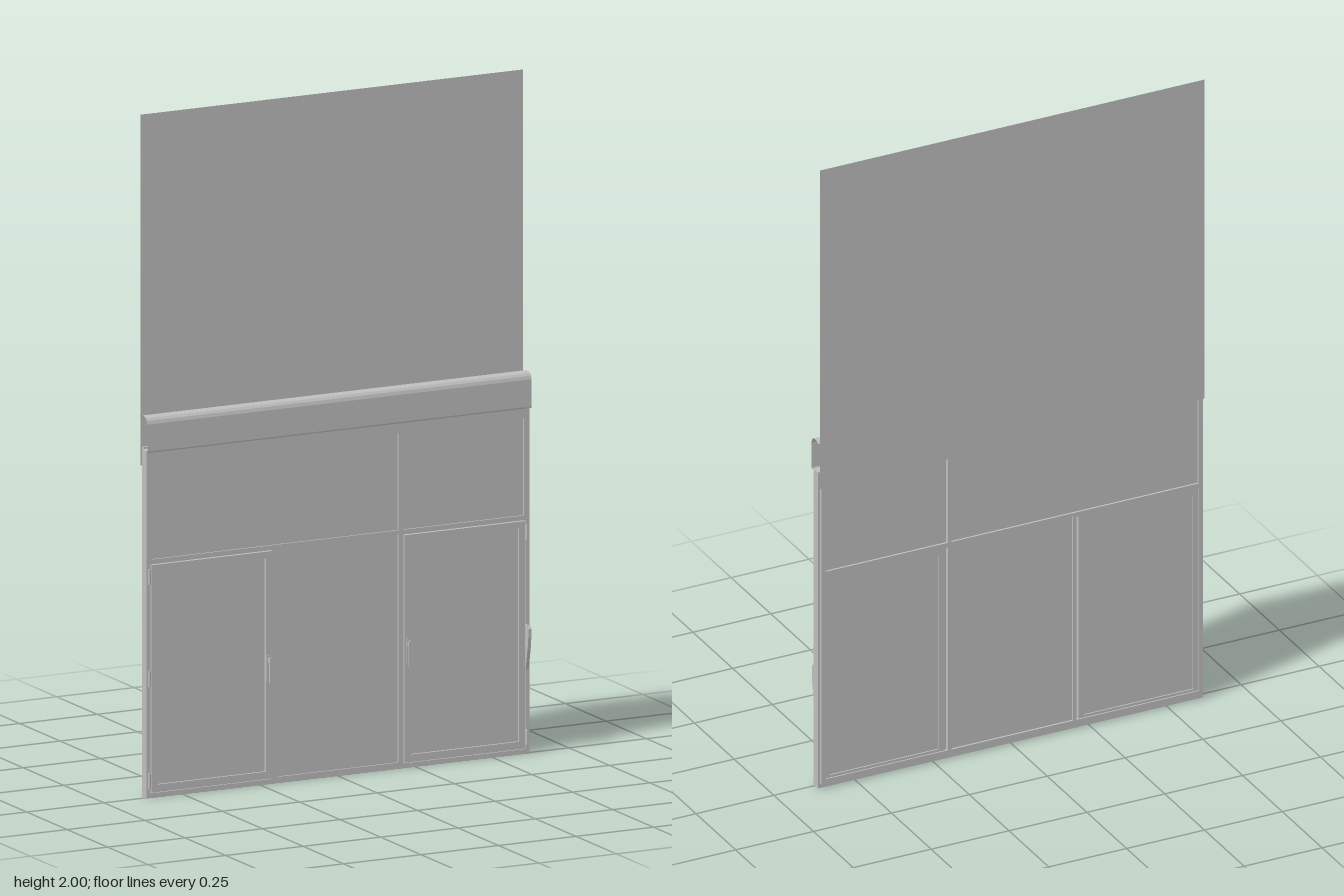
import * as THREE from 'three';

export function createModel() {
  const root = new THREE.Group();
  const grey = new THREE.MeshStandardMaterial({ color: 0xc0c0c0 });
  grey.name = 'light grey';
  const greySheet = grey.clone();
  greySheet.name = 'light grey sheet';
  greySheet.side = THREE.DoubleSide;

  const add = (name, geo, parent = root, mat = grey) => {
    const m = new THREE.Mesh(geo, mat);
    m.name = name;
    parent.add(m);
    return m;
  };
  // Box given by its limits
  const box = (name, x0, x1, y0, y1, z0, z1, parent) => {
    const g = new THREE.BoxGeometry(x1 - x0, y1 - y0, z1 - z0);
    g.translate((x0 + x1) / 2, (y0 + y1) / 2, (z0 + z1) / 2);
    return add(name, g, parent);
  };
  const rect = (Type, x0, x1, y0, y1) => new Type([
    [x0, y0], [x1, y0], [x1, y1], [x0, y1],
  ].map(([x, y]) => new THREE.Vector2(x, y)));
  // Plate with rectangular openings, each [x0, x1, y0, y1]
  const frame = (name, outer, holes, z0, z1, parent) => {
    const s = rect(THREE.Shape, ...outer);
    holes.forEach((h) => s.holes.push(rect(THREE.Path, ...h)));
    const g = new THREE.ExtrudeGeometry(s, { depth: z1 - z0, bevelEnabled: false });
    g.translate(0, 0, z0);
    return add(name, g, parent);
  };

  // Fixed frame: two upper lights, two door openings and a middle light
  const openings = [
    [-0.6, 0.195, 0.7, 0.985], [0.21, 0.6, 0.7, 0.985],
    [-0.605, -0.212, 0.014, 0.686], [0.212, 0.605, 0.014, 0.686],
    [-0.195, 0.195, 0.018, 0.69],
  ];
  frame('mainFrame', [-0.618, 0.618, 0, 1.02], openings, -0.02, 0.008);
  frame('backFrame', [-0.612, 0.612, 0.015, 1.025], [
    [-0.598, 0.195, 0.7, 0.97], [0.207, 0.598, 0.7, 0.97],
    [-0.598, -0.207, 0.03, 0.685], [0.207, 0.598, 0.03, 0.685],
    [-0.195, 0.195, 0.03, 0.69],
  ], -0.03, -0.02);

  // Fixed panes
  box('upperWidePane', -0.6, 0.195, 0.7, 0.985, -0.024, 0.003);
  box('upperNarrowPane', 0.21, 0.6, 0.7, 0.985, -0.024, 0.003);
  box('middlePane', -0.195, 0.195, 0.018, 0.69, -0.024, 0.003);

  // Mirrored doors with hinges and handles
  for (const s of [-1, 1]) {
    const door = new THREE.Group();
    door.name = s < 0 ? 'rightDoor' : 'leftDoor';
    root.add(door);
    const span = (a, b) => (s > 0 ? [a, b] : [-b, -a]);
    frame('doorSash', [...span(0.214, 0.603), 0.016, 0.684],
      [[...span(0.234, 0.583), 0.038, 0.664]], -0.026, 0.011, door);
    box('doorPane', ...span(0.234, 0.583), 0.038, 0.664, -0.022, 0.004, door);

    for (const y of [0.05, 0.35, 0.65]) {
      const g = new THREE.CylinderGeometry(0.004, 0.004, 0.045, 8);
      g.translate(s * 0.609, y, 0.01);
      add('hinge', g, door);
    }

    box('handlePlate', ...span(0.219, 0.231), 0.305, 0.38, 0.011, 0.014, door);
    box('handleNeck', ...span(0.221, 0.229), 0.36, 0.372, 0.014, 0.022, door);
    box('handleLever', ...span(0.221, 0.229), 0.3, 0.375, 0.02, 0.026, door);
  }

  // Open shutter headbox, a rounded profile swept along x
  const profile = [
    [0.008, 1.016], [0.017, 1.016], [0.018, 1.02], [0.018, 1.1], [0.015, 1.11],
    [0.009, 1.117], [0.002, 1.12], [-0.016, 1.12], [-0.024, 1.115],
  ];
  const pos = [];
  const idx = [];
  profile.forEach(([z, y], i) => {
    pos.push(-0.62, y, z, 0.62, y, z);
    if (i) {
      const k = 2 * i;
      idx.push(k - 2, k - 1, k + 1, k - 2, k + 1, k);
    }
  });
  const shell = new THREE.BufferGeometry();
  shell.setAttribute('position', new THREE.Float32BufferAttribute(pos, 3));
  shell.setIndex(idx);
  const flatShell = shell.toNonIndexed();
  flatShell.computeVertexNormals();
  add('headbox', flatShell, root, greySheet);

  // Tall thin sheet behind the headbox
  const sheet = new THREE.PlaneGeometry(1.234, 1.03);
  sheet.translate(0, 1.485, -0.0303);
  add('sheet', sheet, root, greySheet);

  // Pull strap and its tapered winder on the left jamb
  box('strap', 0.604, 0.612, 0.34, 1.02, 0.019, 0.0205);
  const winder = new THREE.Shape([
    [-0.008, 0.25], [-0.014, 0.25], [-0.026, 0.31], [-0.03, 0.345], [-0.03, 0.37],
    [-0.022, 0.38], [-0.008, 0.38],
  ].map(([a, y]) => new THREE.Vector2(a, y)));
  const wg = new THREE.ExtrudeGeometry(winder, { depth: 0.01, bevelEnabled: false });
  wg.rotateY(Math.PI / 2);
  wg.translate(0.603, 0, 0);
  add('strapWinder', wg);

  return root;
}
